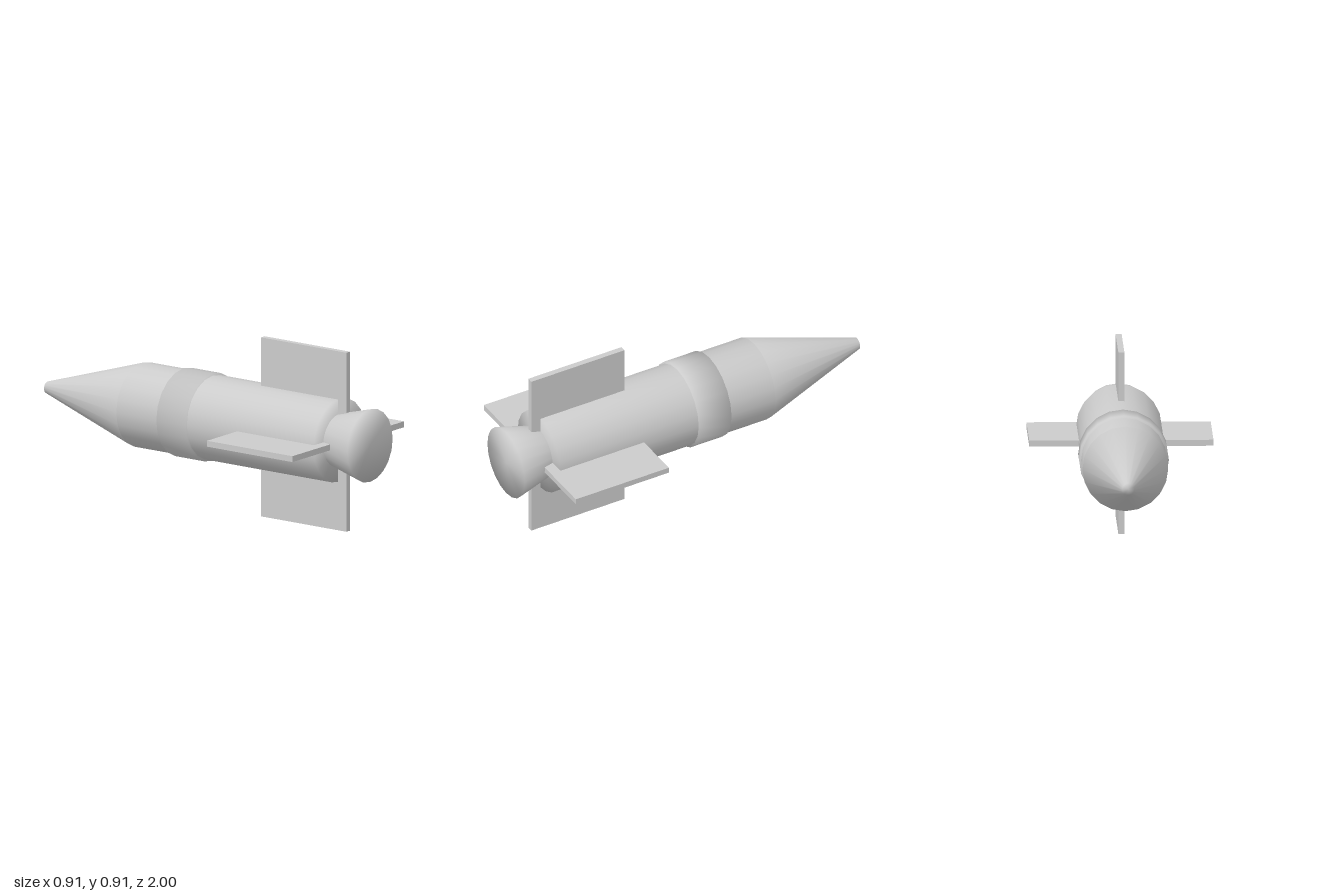
import * as THREE from 'three';
import { mergeVertices } from 'three/addons/utils/BufferGeometryUtils.js';

const SIDES = 20;
const AXIS_Y = 0.455;

export function createModel() {
  const model = new THREE.Group();
  model.name = 'rocket';
  const grey = new THREE.MeshStandardMaterial({ color: 0xcccccc });

  // Capped round section along z, with normals smoothed over the rims
  function addSection(name, zBack, zFront, rBack, rFront) {
    let geo = new THREE.CylinderGeometry(rFront, rBack, zBack - zFront, SIDES);
    geo.deleteAttribute('normal');
    geo.deleteAttribute('uv');
    geo = mergeVertices(geo, 1e-4);
    geo.computeVertexNormals();
    geo.rotateX(-Math.PI / 2);
    const mesh = new THREE.Mesh(geo, grey);
    mesh.name = name;
    mesh.position.set(0, AXIS_Y, (zBack + zFront) / 2);
    model.add(mesh);
  }

  addSection('body', 0.812, -0.413, 0.212, 0.212);
  addSection('noseCone', -0.413, -1, 0.212, 0.03);
  addSection('band', 0.025, -0.157, 0.222, 0.222);
  addSection('nozzle', 1, 0.72, 0.185, 0.111);

  // Four flat fins around the tail, set into the body
  const fins = new THREE.Group();
  fins.name = 'fins';
  fins.position.set(0, AXIS_Y, 0.6);
  const inner = 0.1, outer = 0.455;
  const finGeo = new THREE.BoxGeometry(outer - inner, 0.03, 0.53);
  finGeo.translate((inner + outer) / 2, 0, 0);
  ['leftFin', 'topFin', 'rightFin', 'bottomFin'].forEach((name, i) => {
    const fin = new THREE.Mesh(finGeo, grey);
    fin.name = name;
    fin.rotation.z = i * Math.PI / 2;
    fins.add(fin);
  });
  model.add(fins);

  return model;
}
